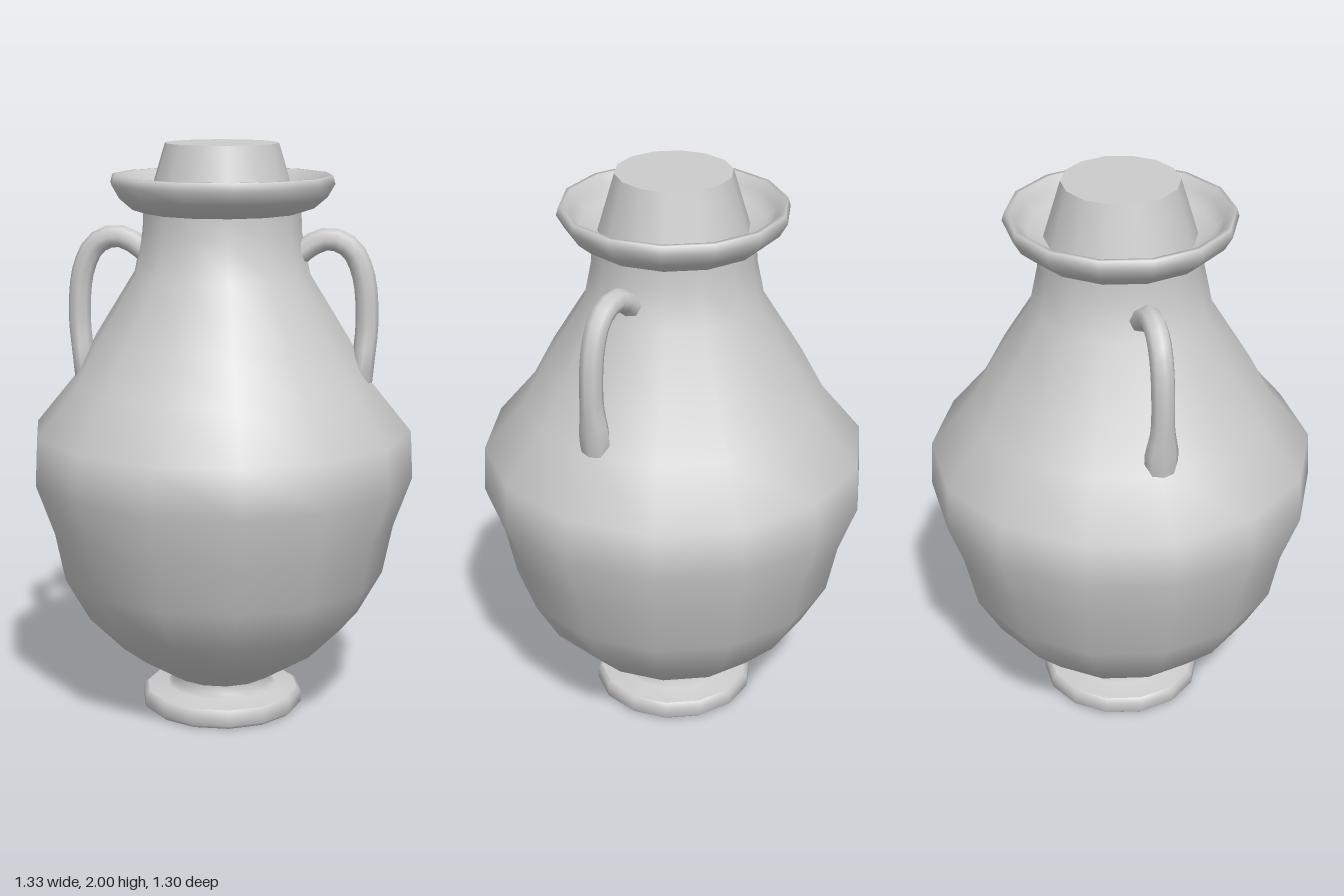
import * as THREE from 'three';
import { mergeVertices } from 'three/addons/utils/BufferGeometryUtils.js';

const SIDES = 14;
const material = new THREE.MeshStandardMaterial({ color: 0xcccccc, side: THREE.DoubleSide });

// Turned part from [radius, height] pairs, listed from bottom to top on the outside
function turned(name, profile) {
  const points = profile.map(([r, y]) => new THREE.Vector2(r, y));
  const mesh = new THREE.Mesh(new THREE.LatheGeometry(points, SIDES, Math.PI / 2), material);
  mesh.name = name;
  return mesh;
}

// Looped handle: a tube whose ends flare sideways where they meet the body
function handle(name, side) {
  const path = new THREE.CatmullRomCurve3([
    [0.25, 1.61], [0.3, 1.655], [0.37, 1.68], [0.44, 1.65], [0.485, 1.56],
    [0.5, 1.4], [0.49, 1.27], [0.477, 1.14],
  ].map(([x, y]) => new THREE.Vector3(side * x, y, 0)));
  const rings = 18, around = 8;
  const tube = new THREE.TubeGeometry(path, rings, 0.039, around);
  const pos = tube.attributes.position;
  for (let i = 0; i < pos.count; i++) {
    const t = Math.floor(i / (around + 1)) / rings;
    const lower = Math.max(0, 1 - Math.abs(t - 0.86) / 0.16);
    const upper = Math.max(0, 1 - t / 0.15);
    pos.setZ(i, pos.getZ(i) * (1 + 0.55 * lower + 0.35 * upper));
  }
  tube.deleteAttribute('uv');
  tube.deleteAttribute('normal');
  const geometry = mergeVertices(tube, 1e-4);
  geometry.computeVertexNormals();
  const mesh = new THREE.Mesh(geometry, material);
  mesh.name = name;
  return mesh;
}

export function createModel() {
  const vase = new THREE.Group();
  vase.name = 'vase';
  vase.add(
    // Foot with a flat underside and a short stem
    turned('footBase', [[0, 0], [0.268, 0]]),
    turned('foot', [[0.268, 0], [0.285, 0.015], [0.285, 0.055], [0.27, 0.068]]),
    turned('footStem', [[0.27, 0.068], [0.195, 0.08], [0.178, 0.095], [0.178, 0.125]]),
    // Belly, shoulder and neck
    turned('body', [
      [0.178, 0.122], [0.362, 0.237], [0.484, 0.36], [0.568, 0.51], [0.603, 0.68],
      [0.666, 0.855], [0.658, 1.02], [0.519, 1.19], [0.44, 1.34], [0.304, 1.56],
      [0.275, 1.7], [0.272, 1.775],
    ]),
    // Flared lip, rolled over into a shallow dish
    turned('rim', [
      [0.272, 1.768], [0.315, 1.782], [0.36, 1.82], [0.386, 1.865], [0.378, 1.893],
      [0.362, 1.893], [0.342, 1.86], [0.31, 1.825], [0.25, 1.805],
    ]),
    // Tapered stopper
    turned('stopper', [[0.255, 1.8], [0.195, 2]]),
    turned('stopperTop', [[0.195, 2], [0, 2]]),
    handle('leftHandle', 1),
    handle('rightHandle', -1),
  );
  return vase;
}
